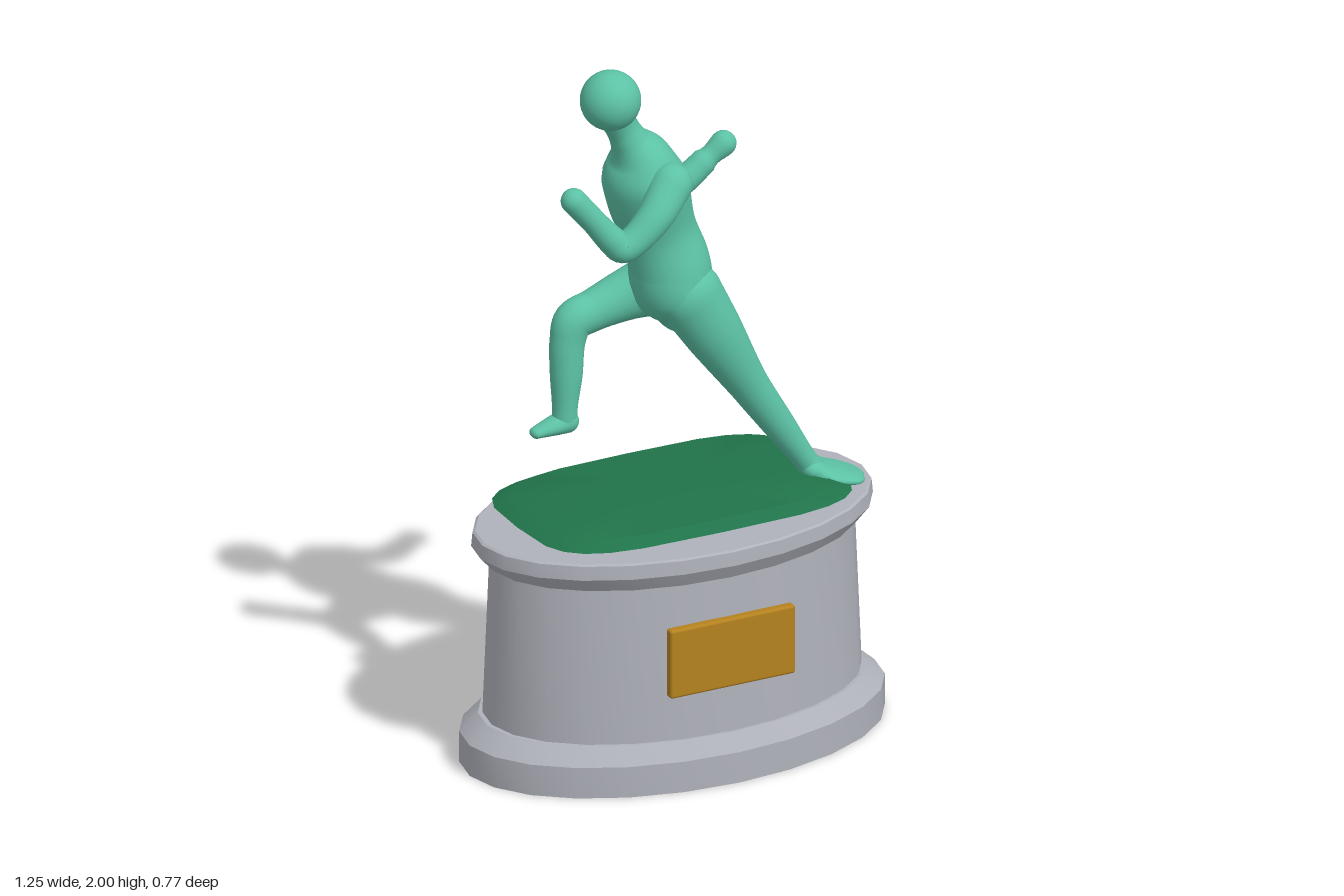
import * as THREE from 'three';
import { toCreasedNormals } from 'three/addons/utils/BufferGeometryUtils.js';
import { RoundedBoxGeometry } from 'three/addons/geometries/RoundedBoxGeometry.js';

const material = (name, color) => {
  const m = new THREE.MeshStandardMaterial({ color });
  m.name = name;
  return m;
};

// Smooth body part through sections [x, y, z, radius in the xy plane, radius in z], with domed ends
function limb(sections, stepsPerSpan = 6, sides = 24) {
  const path = new THREE.CatmullRomCurve3(sections.map(s => new THREE.Vector3(s[0], s[1], s[2])));
  const radii = new THREE.CatmullRomCurve3(sections.map(s => new THREE.Vector3(s[3], s[4] ?? s[3], 0)));
  const steps = (sections.length - 1) * stepsPerSpan;
  const pos = [], index = [], caps = 6;
  let rings = 0;
  const ring = (t, shift, scale) => {
    const c = path.getPoint(t), r = radii.getPoint(t), T = path.getTangent(t);
    const N = new THREE.Vector3(0, 0, 1).cross(T).normalize();
    const B = T.clone().cross(N);
    c.addScaledVector(T, shift * Math.min(r.x, r.y));
    for (let i = 0; i < sides; i++) {
      const a = i / sides * Math.PI * 2;
      const p = c.clone().addScaledVector(N, r.x * scale * Math.cos(a)).addScaledVector(B, r.y * scale * Math.sin(a));
      pos.push(p.x, p.y, p.z);
    }
    rings++;
  };
  const dome = (t, k, sign) => {
    const a = k / caps * Math.PI / 2;
    ring(t, sign * Math.sin(a), Math.max(Math.cos(a), 0.01));
  };
  for (let k = caps; k > 0; k--) dome(0, k, -1);
  for (let i = 0; i <= steps; i++) ring(i / steps, 0, 1);
  for (let k = 1; k <= caps; k++) dome(1, k, 1);
  for (let j = 0; j < rings - 1; j++) {
    for (let i = 0; i < sides; i++) {
      const a = j * sides + i, b = j * sides + (i + 1) % sides;
      index.push(a, b, a + sides, b, b + sides, a + sides);
    }
  }
  const g = new THREE.BufferGeometry();
  g.setAttribute('position', new THREE.Float32BufferAttribute(pos, 3));
  g.setIndex(index);
  g.computeVertexNormals();
  return g;
}

const lathe = profile => new THREE.LatheGeometry(profile.map(p => new THREE.Vector2(...p)), 24);

export function createModel() {
  const model = new THREE.Group();
  model.name = 'runnerStatue';
  const stone = material('grey stone', 0xb0b2bb);
  const grass = material('dark green', 0x20734a);
  const gold = material('gold', 0xb5821f);
  const patina = material('green patina', 0x5cc2a5);
  const add = (parent, name, geometry, mat) => {
    const mesh = new THREE.Mesh(geometry, mat);
    mesh.name = name;
    parent.add(mesh);
    return mesh;
  };

  // Oval plinth with a stepped foot and a flared rim
  const plinth = lathe([
    [0, 0], [0.625, 0], [0.625, 0.09], [0.57, 0.138], [0.557, 0.138], [0.537, 0.592],
    [0.55, 0.592], [0.59, 0.635], [0.586, 0.675], [0.578, 0.68], [0, 0.68],
  ]);
  plinth.scale(1, 1, 0.62);
  add(model, 'plinth', toCreasedNormals(plinth, 0.45), stone);

  // Turf pad: a shallow lens with a rounded-rectangle outline
  const turf = lathe([[0, 0.683], [0.52, 0.683], [1, 0.707], [0.88, 0.73], [0.3, 0.736], [0, 0.736]]);
  const tp = turf.attributes.position;
  for (let i = 0; i < tp.count; i++) {
    const x = tp.getX(i), z = tp.getZ(i), r = Math.hypot(x, z) || 1;
    const bulge = v => Math.sign(v) * Math.sqrt(Math.abs(v) / r) * r;
    tp.setX(i, bulge(x) * 0.478);
    tp.setZ(i, bulge(z) * 0.293);
  }
  add(model, 'turf', toCreasedNormals(turf, 0.5), grass);

  // Blank plaque on the front
  add(model, 'plaque', new RoundedBoxGeometry(0.386, 0.202, 0.03, 2, 0.008), gold)
    .position.set(-0.002, 0.375, 0.343);

  // Runner, leaning and running towards -x
  const runner = new THREE.Group();
  runner.name = 'runner';
  model.add(runner);

  add(runner, 'head', new THREE.SphereGeometry(0.084, 32, 20), patina).position.set(-0.19, 1.916, 0);

  add(runner, 'torso', limb([
    [0.03, 1.27, 0, 0.08, 0.1], [0.0, 1.33, 0, 0.112, 0.128], [-0.01, 1.4, 0, 0.112, 0.118],
    [-0.04, 1.5, 0, 0.105, 0.096], [-0.07, 1.6, 0, 0.115, 0.115], [-0.088, 1.67, 0, 0.112, 0.132],
    [-0.105, 1.735, 0, 0.085, 0.105], [-0.132, 1.785, 0, 0.053, 0.058],
    [-0.155, 1.83, 0, 0.046, 0.046], [-0.18, 1.88, 0, 0.052, 0.052],
  ]), patina);

  add(runner, 'nearArm', limb([
    [-0.065, 1.685, 0.115, 0.06], [-0.13, 1.62, 0.15, 0.05], [-0.2, 1.56, 0.155, 0.043],
    [-0.235, 1.545, 0.152, 0.042], [-0.265, 1.572, 0.148, 0.04],
    [-0.32, 1.64, 0.138, 0.035], [-0.372, 1.703, 0.128, 0.036],
  ]), patina);

  add(runner, 'farArm', limb([
    [-0.05, 1.69, -0.11, 0.06], [0.01, 1.62, -0.145, 0.05], [0.065, 1.56, -0.155, 0.043],
    [0.092, 1.548, -0.154, 0.042], [0.125, 1.562, -0.152, 0.039],
    [0.18, 1.605, -0.147, 0.036], [0.235, 1.647, -0.142, 0.036],
  ]), patina);

  // Trailing leg, planted on the turf
  add(runner, 'trailingLeg', limb([
    [0.02, 1.32, 0.055, 0.095, 0.085], [0.09, 1.2, 0.065, 0.083, 0.075], [0.2, 1.02, 0.067, 0.056, 0.053],
    [0.29, 0.885, 0.07, 0.045, 0.042], [0.37, 0.765, 0.072, 0.034, 0.034], [0.39, 0.735, 0.072, 0.036, 0.036],
  ]), patina);
  add(runner, 'trailingFoot', limb([
    [0.385, 0.735, 0.075, 0.03, 0.05], [0.42, 0.72, 0.08, 0.027, 0.085],
    [0.465, 0.711, 0.075, 0.021, 0.1], [0.505, 0.703, 0.065, 0.014, 0.075], [0.528, 0.698, 0.06, 0.009, 0.045],
  ]), patina);

  // Leading leg, knee raised
  add(runner, 'leadingLeg', limb([
    [0.0, 1.32, -0.055, 0.095, 0.085], [-0.1, 1.29, -0.08, 0.072, 0.068], [-0.2, 1.26, -0.088, 0.058, 0.056],
    [-0.258, 1.242, -0.086, 0.057, 0.052], [-0.278, 1.19, -0.083, 0.05, 0.047], [-0.286, 1.09, -0.076, 0.045, 0.044],
    [-0.294, 1.0, -0.069, 0.035, 0.036], [-0.296, 0.967, -0.067, 0.035, 0.035],
  ]), patina);
  add(runner, 'leadingFoot', limb([
    [-0.29, 0.96, -0.067, 0.034, 0.036], [-0.33, 0.953, -0.067, 0.026, 0.035], [-0.385, 0.943, -0.067, 0.015, 0.024],
  ]), patina);

  return model;
}
